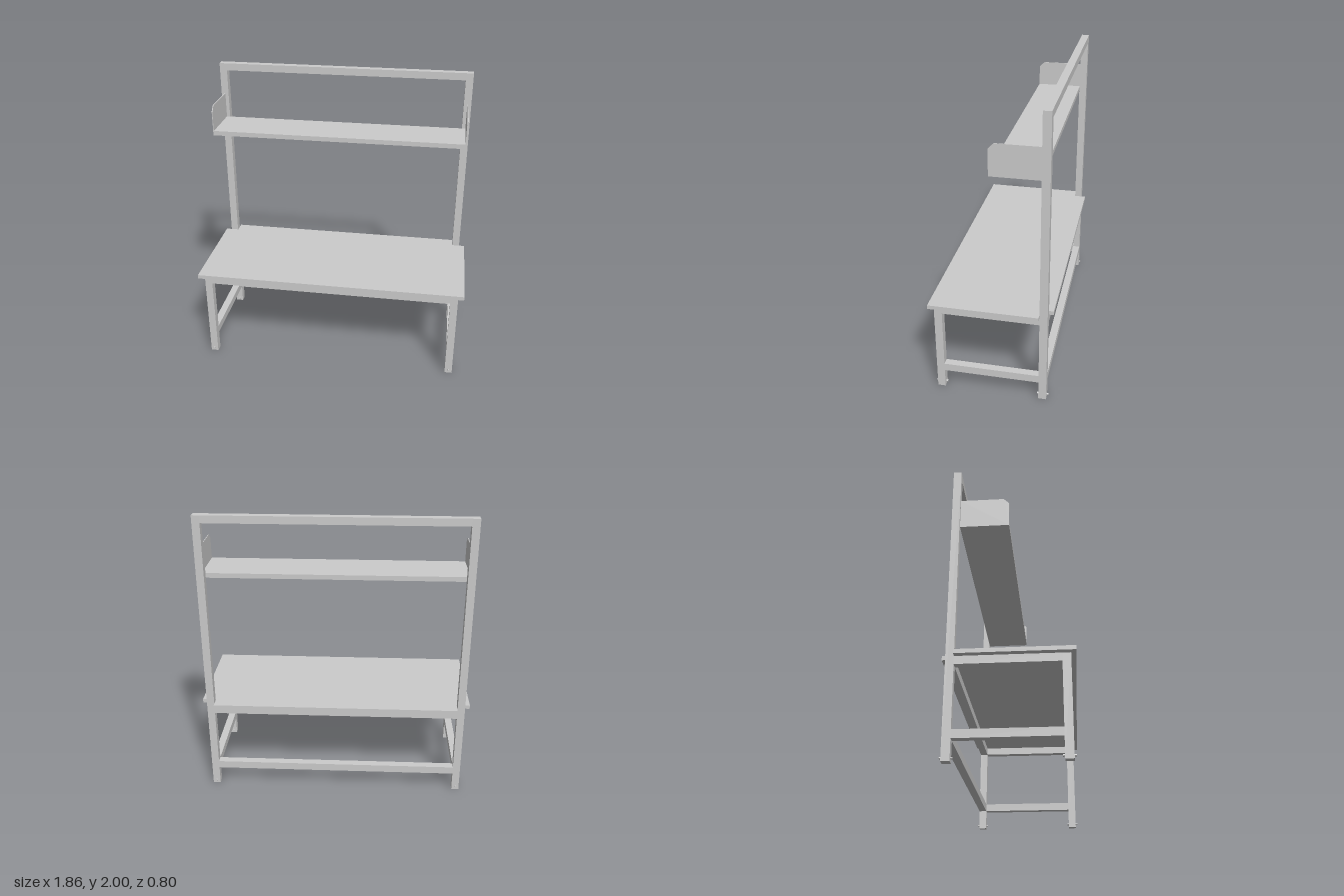
import * as THREE from 'three';

export function createModel() {
  const model = new THREE.Group();
  const grey = new THREE.MeshStandardMaterial({ color: 0xcccccc, flatShading: true });

  const add = (name, geometry) => {
    const mesh = new THREE.Mesh(geometry, grey);
    mesh.name = name;
    model.add(mesh);
    return mesh;
  };
  // Box given by its limits on each axis
  const box = (name, x0, x1, y0, y1, z0, z1) =>
    add(name, new THREE.BoxGeometry(x1 - x0, y1 - y0, z1 - z0))
      .position.set((x0 + x1) / 2, (y0 + y1) / 2, (z0 + z1) / 2);

  const inner = 0.842, outer = 0.893;   // post limits in x
  const zBack = -0.37, zFront = 0.37, tube = 0.052;
  const topY = 0.64;                    // underside of the worktop

  // Posts, front legs, side rails and foot bolts, mirrored
  for (const s of [-1, 1]) {
    const x0 = Math.min(s * inner, s * outer), x1 = Math.max(s * inner, s * outer);
    box('backPost', x0, x1, 0, 2, zBack, zBack + tube);
    box('frontLeg', x0, x1, 0, topY, zFront - tube, zFront);
    box('sideLowerRail', x0, x1, 0.132, 0.185, zBack + tube, zFront - tube);
    box('sideApron', x0, x1, 0.588, topY, zBack + tube, zFront - tube);
    for (const z of [zBack + tube / 2, zFront - tube / 2]) {
      const bolt = add('footBolt', new THREE.CylinderGeometry(0.007, 0.007, tube + 0.024, 12));
      bolt.rotation.x = Math.PI / 2;
      bolt.position.set(s * (inner + outer) / 2, 0.025, z);
    }
  }

  // Long rails between the posts and legs
  box('topBeam', -inner, inner, 1.95, 2, zBack, zBack + tube);
  box('backApron', -inner, inner, 0.588, topY, zBack, zBack + tube);
  box('backLowerRail', -inner, inner, 0.132, 0.185, zBack, zBack + tube);
  box('frontApron', -inner, inner, 0.588, topY, zFront - tube, zFront);

  // Worktop, notched around the back posts (shape y becomes -z)
  const outline = [[-0.932, -0.4], [0.932, -0.4], [0.932, 0.318], [0.84, 0.318],
    [0.84, 0.4], [-0.84, 0.4], [-0.84, 0.318], [-0.932, 0.318]];
  const worktop = add('worktop', new THREE.ExtrudeGeometry(
    new THREE.Shape(outline.map(([x, y]) => new THREE.Vector2(x, y))),
    { depth: 0.027, bevelEnabled: false }));
  worktop.rotation.x = -Math.PI / 2;
  worktop.position.y = topY;

  // Shelf with thin end plates, clipped at the front top corner
  box('shelf', -0.866, 0.866, 1.573, 1.605, -0.318, 0);
  const plate = [[0, 1.573], [0.318, 1.573], [0.318, 1.78], [0.036, 1.78], [0, 1.744]];
  for (const s of [-1, 1]) {
    const end = add('shelfEndPlate', new THREE.ExtrudeGeometry(
      new THREE.Shape(plate.map(([x, y]) => new THREE.Vector2(x, y))),
      { depth: 0.005, bevelEnabled: false }));
    end.rotation.y = Math.PI / 2;
    end.position.x = s * 0.8685 - 0.0025;
  }

  return model;
}
